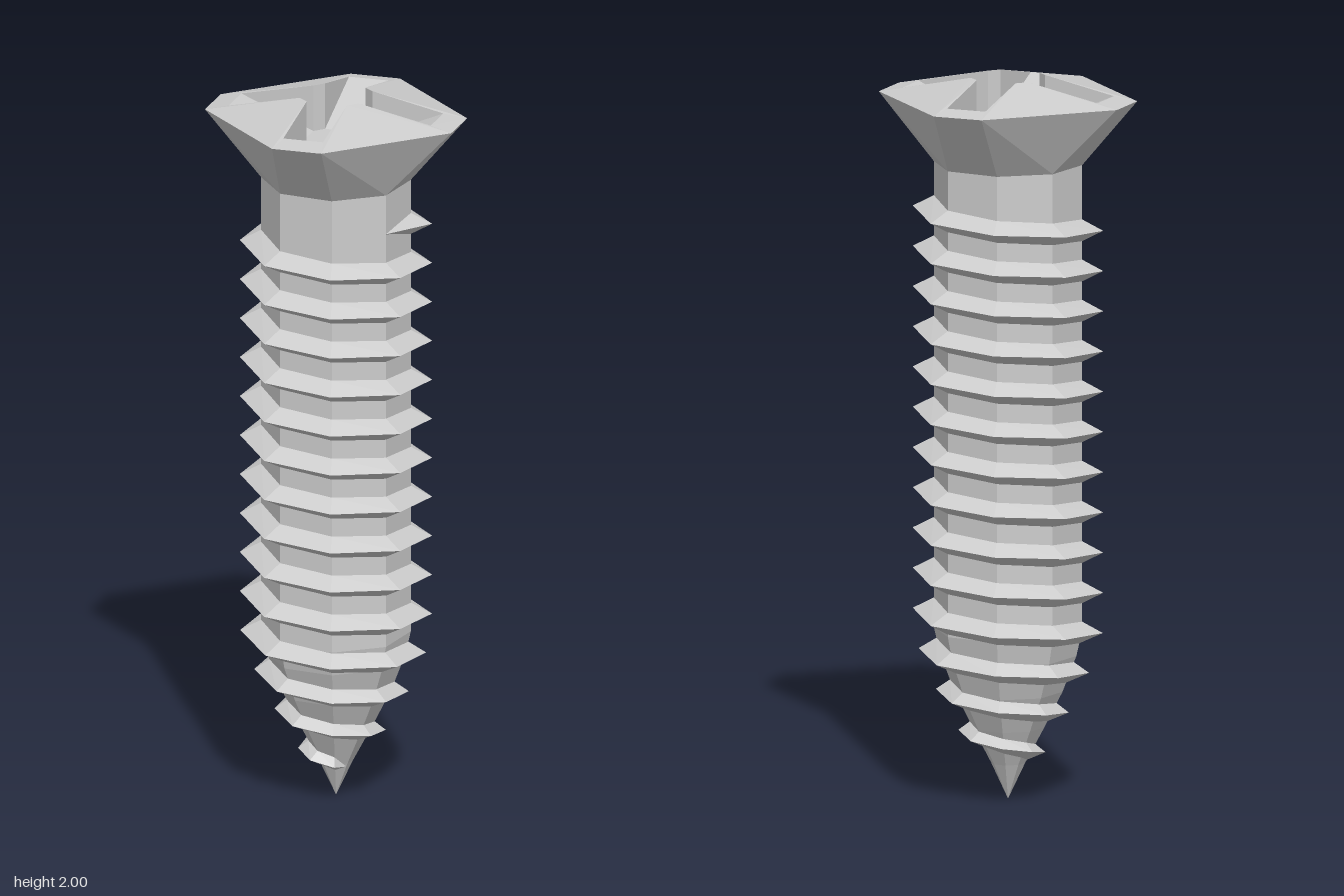
import * as THREE from 'three';

const rad = THREE.MathUtils.degToRad;
// point on a ring; the angle runs from +x towards +z
const polar = (deg, r, y) => [r * Math.cos(rad(deg)), y, r * Math.sin(rad(deg))];
const ANGLES = [0, 1, 2, 3, 4, 5, 6, 7].map(i => 34 + 45 * i);

// add a flat polygon as a fan of triangles
function face(out, ...p) {
  for (let i = 1; i < p.length - 1; i++) out.push(...p[0], ...p[i], ...p[i + 1]);
}

// skin a stack of point rows, from bottom to top
function loft(out, rows, closed) {
  for (let j = 0; j < rows.length - 1; j++) {
    const lo = rows[j], hi = rows[j + 1], n = lo.length;
    for (let i = 0; i < (closed ? n : n - 1); i++) {
      const k = (i + 1) % n;
      face(out, lo[i], hi[i], hi[k], lo[k]);
    }
  }
}

function makeMesh(name, positions) {
  const g = new THREE.BufferGeometry();
  g.setAttribute('position', new THREE.Float32BufferAttribute(positions, 3));
  g.computeVertexNormals();
  const mat = new THREE.MeshStandardMaterial({ color: 0xcccccc, flatShading: true, side: THREE.DoubleSide });
  const mesh = new THREE.Mesh(g, mat);
  mesh.name = name;
  return mesh;
}

// core profile as [y, radius]
const CORE = [[0, 0], [0.1, 0.047], [0.2, 0.1], [0.3, 0.15], [0.4, 0.188], [0.47, 0.204], [1.76, 0.204]];
function coreRadius(y) {
  for (let i = 1; i < CORE.length; i++) {
    const [y0, r0] = CORE[i - 1], [y1, r1] = CORE[i];
    if (y <= y1) return r0 + (r1 - r0) * Math.max(0, (y - y0) / (y1 - y0));
  }
  return 0.204;
}

// eight-sided shank tapering to the point
function makeShank() {
  const out = [];
  loft(out, CORE.map(([y, r]) => ANGLES.map(a => polar(a, r, y))), true);
  return makeMesh('shank', out);
}

// helical ridge, eight steps per turn, pinched off at both ends
function makeThread() {
  const first = -102, last = 10, low = [], crest = [], high = [];
  for (let k = first; k <= last; k++) {
    const y = 1.51 + 0.1114 * k / 8, a = -11 + 45 * k;
    const end = k === first || k === last;
    const h = end ? 0 : 0.03 * Math.min(1, 0.6 + y);
    low.push(polar(a, coreRadius(y - h), y - h));
    crest.push(polar(a, coreRadius(y) + (end ? 0 : 0.058 * Math.min(1, 0.55 + y)), y));
    high.push(polar(a, coreRadius(y + h), y + h));
  }
  const out = [];
  loft(out, [low, crest, high], false);
  return makeMesh('thread', out);
}

// countersunk head with a cross recess, made of four equal quarters
function makeHead() {
  const out = [], RIM = 1.945, TOP = 2, END = 1.957, FLOOR = 1.87;
  const turn = (x, y, z, q) => {
    for (let i = 0; i < q; i++) [x, z] = [-z, x];
    return [x, y, z];
  };
  const quarter = q => ({
    P: turn(0.286, RIM, 0.217, q), Q: turn(0.18, RIM, 0.31, q),      // rim corners
    A: turn(0.233, END, 0.18, q), B: turn(0.148, END, 0.255, q),     // outer end of slot
    C: turn(0.1, TOP, 0.025, q), D: turn(0.012, TOP, 0.1, q),        // inner end of slot
    c: turn(0.1, FLOOR, 0.025, q), d: turn(0.012, FLOOR, 0.1, q),    // recess floor
  });
  const rim = [], centre = [0, FLOOR, 0];
  for (let q = 0; q < 4; q++) {
    const { P, Q, A, B, C, D, c, d } = quarter(q), n = quarter(q + 1);
    rim.push(P, Q);
    // broad facet and the narrow one around the slot
    face(out, Q, D, n.C, n.P);
    face(out, P, A, B, Q);
    face(out, P, C, A);
    face(out, Q, B, D);
    // sloping slot floor and its side walls
    face(out, A, c, d, B);
    face(out, A, C, c);
    face(out, B, d, D);
    // middle of the recess
    face(out, D, d, n.c, n.C);
    face(out, centre, d, c);
    face(out, centre, n.c, d);
  }
  // underside down to the shank
  loft(out, [ANGLES.map(a => polar(a, 0.204, 1.76)), rim], true);
  return makeMesh('head', out);
}

export function createModel() {
  const group = new THREE.Group();
  group.name = 'screw';
  group.add(makeShank(), makeThread(), makeHead());
  return group;
}
